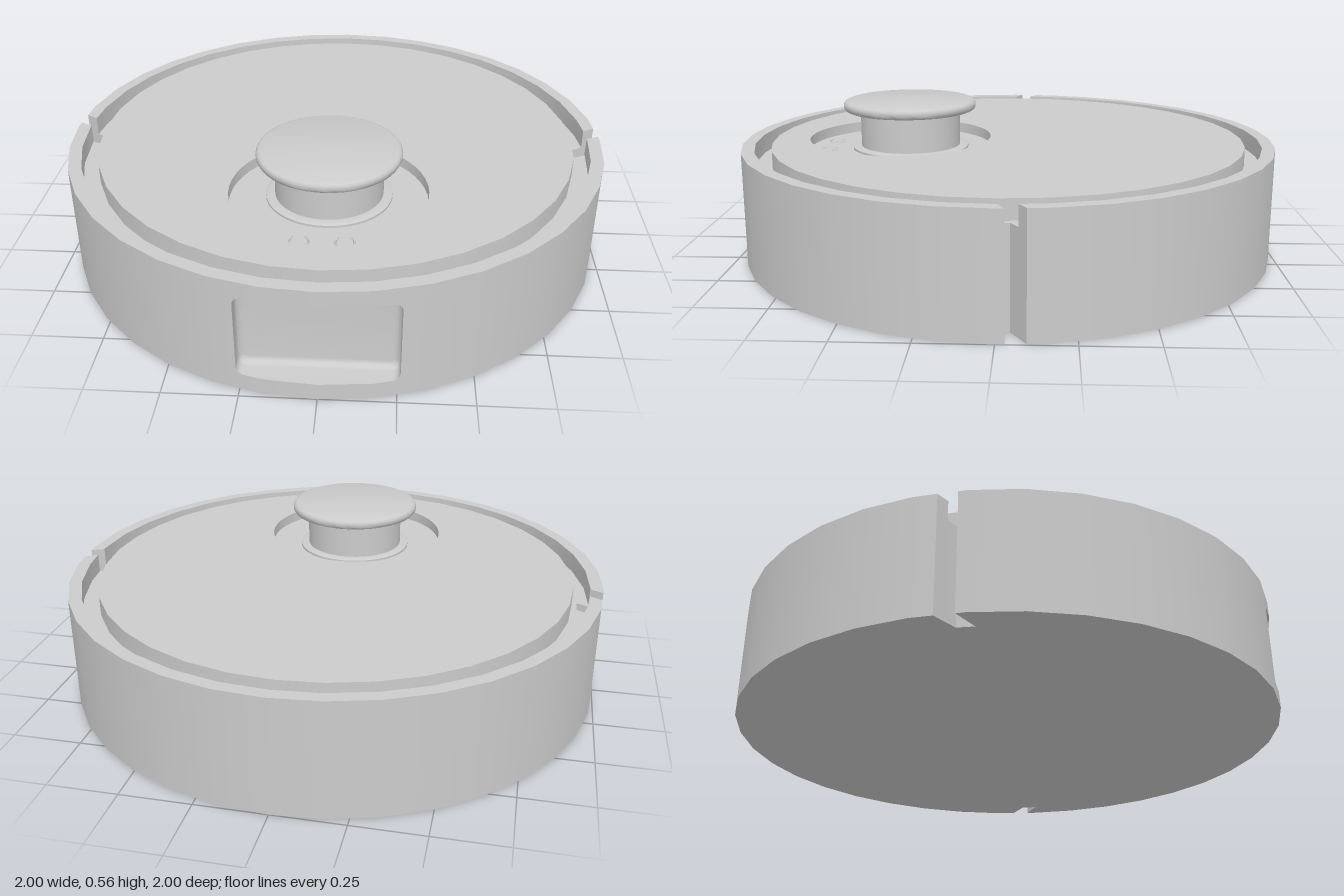
import * as THREE from 'three';
import { mergeGeometries, toCreasedNormals } from 'three/addons/utils/BufferGeometryUtils.js';

const H = 0.42, GROOVE_Y = 0.35, RECESS_Y = 0.38;
const POCKET = { w: 0.26, y0: 0.06, y1: 0.36, r: 0.03, back: 0.9, fillet: 0.022 };
const STEP = Math.sin(Math.PI / 18), STEP2 = Math.sin(Math.PI / 9);
const mat = new THREE.MeshStandardMaterial({ color: 0xcccccc });

// Points [x, z] on a circle; 0 degrees is the front, 90 degrees is +x
function arc(r, from, to, step = 10, cz = 0) {
  const pts = [];
  for (let a = from; a <= to + 1e-6; a += step) {
    const t = THREE.MathUtils.degToRad(a);
    pts.push([r * Math.sin(t), cz + r * Math.cos(t)]);
  }
  return pts;
}

function fromTriangles(pos) {
  const g = new THREE.BufferGeometry();
  g.setAttribute('position', new THREE.Float32BufferAttribute(pos, 3));
  g.computeVertexNormals();
  return g;
}

// Upright strip along a path; faces outward when the path runs from +z to +x
function wall(pts, y0, y1) {
  const pos = [];
  for (let i = 0; i < pts.length - 1; i++) {
    const [ax, az] = pts[i], [bx, bz] = pts[i + 1];
    pos.push(ax, y0, az, bx, y0, bz, bx, y1, bz, ax, y0, az, bx, y1, bz, ax, y1, az);
  }
  return fromTriangles(pos);
}

function plain(g) {
  const n = g.index ? g.toNonIndexed() : g;
  n.deleteAttribute('uv');
  return n;
}

// Horizontal face with an optional hole
function flat(pts, y, up = true, hole = null) {
  const s = up ? -1 : 1;
  const vec = (list) => list.map(([x, z]) => new THREE.Vector2(x, s * z));
  const shape = new THREE.Shape(vec(pts));
  if (hole) shape.holes.push(new THREE.Path(vec(hole)));
  return plain(new THREE.ShapeGeometry(shape).rotateX(s * Math.PI / 2).translate(0, y, 0));
}

function mesh(name, geos, crease = 0.5) {
  const g = mergeGeometries(geos.map(plain));
  const m = new THREE.Mesh(crease ? toCreasedNormals(g, crease) : g, mat);
  m.name = name;
  return m;
}

// Depth of the faceted outer wall near the front
function frontZ(x) {
  const a = Math.min(Math.floor(Math.asin(Math.abs(x)) * 18 / Math.PI + 1e-6), 1);
  const t0 = a * Math.PI / 18, t1 = (a + 1) * Math.PI / 18;
  const k = (Math.abs(x) - Math.sin(t0)) / (Math.sin(t1) - Math.sin(t0));
  return THREE.MathUtils.lerp(Math.cos(t0), Math.cos(t1), k);
}

// Rounded rectangle with extra points where the wall facets meet
function pocketOutline(inset) {
  const w = POCKET.w - inset, b = POCKET.y0 + inset, t = POCKET.y1 - inset, r = POCKET.r - inset;
  const s = new THREE.Shape().moveTo(-w + r, b);
  for (const x of [-STEP, 0, STEP, w - r]) s.lineTo(x, b);
  s.quadraticCurveTo(w, b, w, b + r).lineTo(w, t - r).quadraticCurveTo(w, t, w - r, t);
  for (const x of [STEP, 0, -STEP, -w + r]) s.lineTo(x, t);
  s.quadraticCurveTo(-w, t, -w, t - r).lineTo(-w, b + r).quadraticCurveTo(-w, b, -w + r, b);
  return s;
}

// Outer wall panel beside the pocket
function sidePanel(s) {
  const { w, y0, y1, r } = POCKET;
  const p = new THREE.Shape().moveTo(s * STEP, 0);
  p.lineTo(s * STEP2, 0).lineTo(s * STEP2, H).lineTo(s * STEP, H).lineTo(s * STEP, y1).lineTo(s * (w - r), y1);
  p.quadraticCurveTo(s * w, y1, s * w, y1 - r).lineTo(s * w, y0 + r);
  p.quadraticCurveTo(s * w, y0, s * (w - r), y0).lineTo(s * STEP, y0);
  const g = new THREE.ShapeGeometry(p, 6), a = g.attributes.position;
  for (let i = 0; i < a.count; i++) a.setZ(i, frontZ(a.getX(i)));
  return plain(g);
}

// Pocket lining: straight sides, then a fillet into the flat back
function pocket() {
  const { back, fillet: f } = POCKET;
  const loops = [pocketOutline(0).getPoints(6).map(p => [p.x, p.y, frontZ(p.x)])];
  for (let k = 0; k <= 5; k++) {
    const t = k / 5 * Math.PI / 2;
    loops.push(pocketOutline(f * (1 - Math.cos(t))).getPoints(6)
      .map(p => [p.x, p.y, back + f - f * Math.sin(t)]));
  }
  const pos = [];
  for (let j = 0; j < loops.length - 1; j++) {
    const A = loops[j], B = loops[j + 1];
    for (let i = 0; i < A.length; i++) {
      const n = (i + 1) % A.length;
      pos.push(...A[i], ...A[n], ...B[n], ...A[i], ...B[n], ...B[i]);
    }
  }
  const cap = new THREE.ShapeGeometry(pocketOutline(f), 6).translate(0, 0, back);
  return mesh('frontPocket', [fromTriangles(pos), cap], 0.6);
}

function lathe(name, profile, z) {
  const g = new THREE.LatheGeometry(profile.map(p => new THREE.Vector2(...p)), 48);
  const m = mesh(name, [g], 0.6);
  m.position.z = z;
  return m;
}

export function createModel() {
  const group = new THREE.Group();

  // Plan outlines with a slanted notch on each side
  const flip = ([x, z]) => [-x, z];
  const lipF = [0.997, -0.03], lipB = [0.992, -0.095];
  const inF = [0.91, 0.016], inB = [0.91, -0.043];
  const midF = [0.952, -0.006], midB = [0.95, -0.069];
  const front = [flip(lipF), ...arc(1, -90, 90), lipF];
  const rear = [lipB, ...arc(1, 100, 260), flip(lipB)];
  const frontIn = [flip(midF), ...arc(0.953, -90, 90), midF];
  const rearIn = [midB, ...arc(0.953, 100, 260), flip(midB)];
  const notchR = [inF, inB], notchL = [flip(inB), flip(inF)];
  const plate = arc(0.892, 0, 350);
  const recess = arc(0.347, 0, 352.5, 7.5, 0.415);
  const closed = (p) => [...p, p[0]];
  const rev = (p) => [...p].reverse();

  // Outer wall, shaded as a smooth cylinder
  const outer = mesh('outerWall', [
    wall([flip(lipF), ...arc(1, -90, -20)], 0, H),
    wall([...arc(1, 20, 90), lipF], 0, H),
    wall(rear, 0, H),
    wall(arc(1, -10, 10), 0, POCKET.y0),
    wall(arc(1, -10, 10), POCKET.y1, H),
    sidePanel(1), sidePanel(-1),
  ], 0);
  const p = outer.geometry.attributes.position, n = outer.geometry.attributes.normal;
  for (let i = 0; i < p.count; i++) {
    const l = Math.hypot(p.getX(i), p.getZ(i));
    n.setXYZ(i, p.getX(i) / l, 0, p.getZ(i) / l);
  }
  group.add(outer, pocket());

  group.add(mesh('base', [flat([...front, ...notchR, ...rear, ...notchL], 0, false)]));

  // Raised rim in two halves, and the groove inside it
  group.add(mesh('rim', [
    flat([...front, ...rev(frontIn)], H),
    flat([...rear, ...rev(rearIn)], H),
    wall(rev(frontIn), GROOVE_Y, H),
    wall(rev(rearIn), GROOVE_Y, H),
  ]));
  group.add(mesh('groove', [
    flat([...frontIn, ...notchR, ...rearIn, ...notchL], GROOVE_Y, true, plate),
    wall(closed(plate), GROOVE_Y, H),
  ]));

  // Notch walls are full height in the rim and lower beneath the groove
  group.add(mesh('sideNotches', [
    wall([lipF, midF], 0, H), wall([midB, lipB], 0, H),
    wall([flip(lipB), flip(midB)], 0, H), wall([flip(midF), flip(lipF)], 0, H),
    wall([midF, ...notchR, midB], 0, GROOVE_Y),
    wall([flip(midB), ...notchL, flip(midF)], 0, GROOVE_Y),
  ]));

  // Top plate with the round recess
  group.add(mesh('topPlate', [flat(plate, H, true, recess)]));
  group.add(mesh('recess', [wall(rev(closed(recess)), RECESS_Y, H), flat(recess, RECESS_Y)]));

  // Sensor turret
  group.add(lathe('turretColumn', [
    [0.222, RECESS_Y], [0.222, 0.388], [0.215, 0.392], [0.19, 0.392], [0.19, 0.53]], 0.377));
  group.add(lathe('turretCap', [
    [0, 0.527], [0.238, 0.527], [0.247, 0.531], [0.252, 0.539], [0.252, 0.553],
    [0.247, 0.561], [0.238, 0.565], [0, 0.565]], 0.377));

  // Two small button rings
  for (const x of [-0.08, 0.07]) {
    const ring = mesh('buttonRing', [new THREE.TorusGeometry(0.031, 0.004, 6, 24, Math.PI * 1.7)
      .rotateZ(Math.PI * 0.65).rotateX(-Math.PI / 2)], 1.2);
    ring.position.set(x, RECESS_Y, 0.68);
    group.add(ring);
  }
  return group;
}
